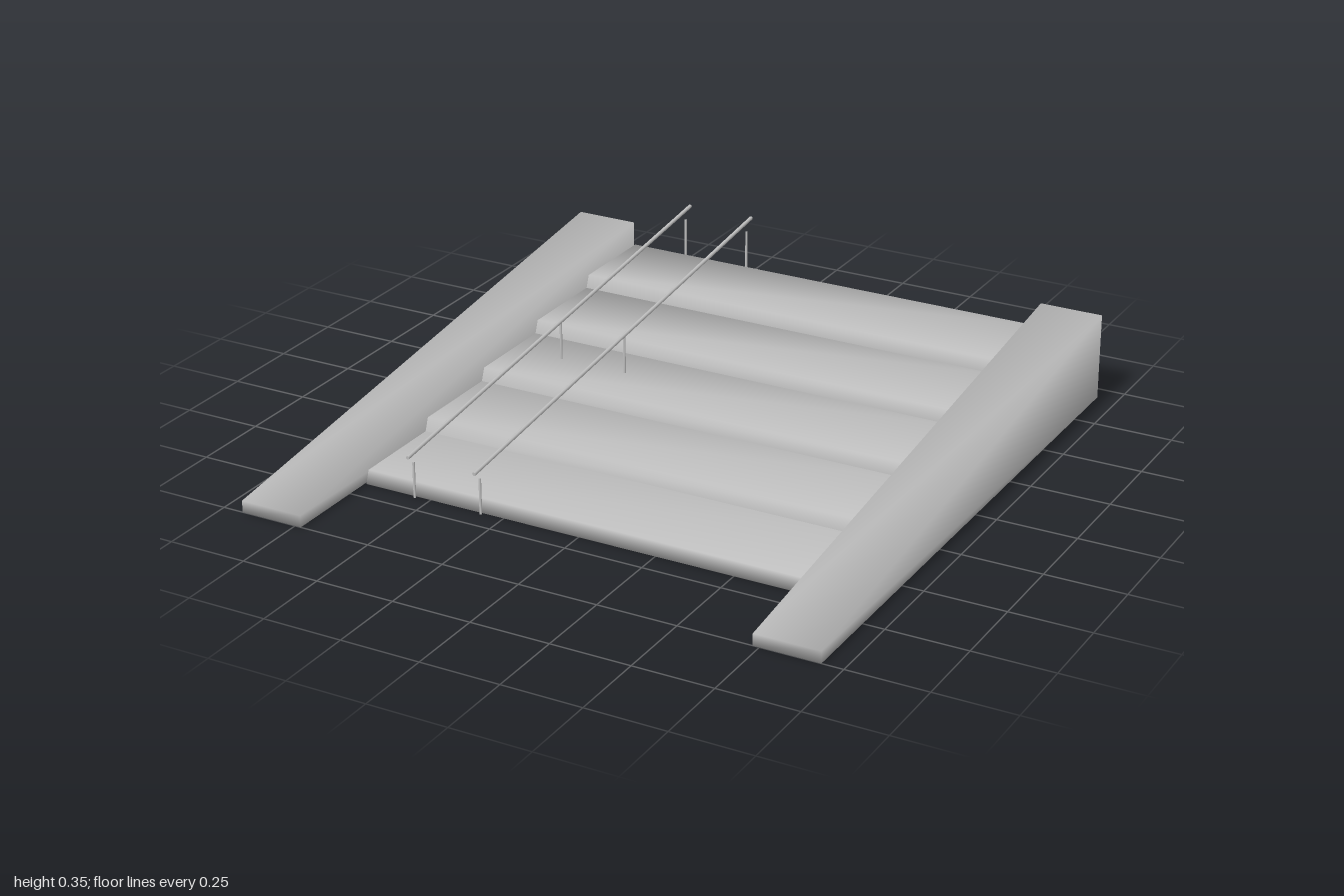
import * as THREE from 'three';
import { mergeVertices } from 'three/addons/utils/BufferGeometryUtils.js';

const concrete = new THREE.MeshStandardMaterial({ name: 'grey concrete', color: 0xc0c0c0 });

// Side profile of [z, y] points extruded across x, with normals shared around the corners
function prism(name, profile, width, x) {
  const shape = new THREE.Shape(profile.map(([z, y]) => new THREE.Vector2(z, y)));
  let geo = new THREE.ExtrudeGeometry(shape, { depth: width, bevelEnabled: false });
  geo.rotateY(-Math.PI / 2).translate(x + width / 2, 0, 0);
  geo.clearGroups();
  geo.deleteAttribute('normal');
  geo.deleteAttribute('uv');
  geo = mergeVertices(geo, 1e-4);
  geo.computeVertexNormals();
  const mesh = new THREE.Mesh(geo, concrete);
  mesh.name = name;
  return mesh;
}

// Round bar between two points
function bar(name, a, b, radius) {
  const dir = b.clone().sub(a);
  const mesh = new THREE.Mesh(new THREE.CylinderGeometry(radius, radius, dir.length(), 8), concrete);
  mesh.position.copy(a).add(b).multiplyScalar(0.5);
  mesh.quaternion.setFromUnitVectors(new THREE.Vector3(0, 1, 0), dir.normalize());
  mesh.name = name;
  return mesh;
}

export function createModel() {
  const model = new THREE.Group();
  model.name = 'wideSteps';

  // Five solid steps with slightly sloping risers
  const count = 5, run = 0.322, rise = 0.04, first = 0.673, back = -0.937;
  for (let i = 0; i < count; i++) {
    const front = first - i * run;
    const rear = i === count - 1 ? back : front - run;
    const top = rise * (i + 1);
    const slope = 0.015;
    model.add(prism('step' + (i + 1),
      [[rear, 0], [front, 0], [front, top - rise], [front - slope, top], [rear, top]]
        .filter((p, k) => !(i === 0 && k === 2)), 1.45, 0));
  }

  // Sloping side walls
  for (const side of [-1, 1]) {
    model.add(prism(side > 0 ? 'leftWall' : 'rightWall',
      [[back, 0], [1, 0], [1, 0.037], [back, 0.278]], 0.204, side * 0.832));
  }

  // Pair of handrails on thin posts
  const posts = [[0.68, 0, 0.115], [-0.16, 0.12, 0.245], [-0.967, 0, 0.31]];
  for (const x of [-0.55, -0.323]) {
    const rail = new THREE.Group();
    rail.name = 'handrail';
    rail.add(bar('railBar', new THREE.Vector3(x, 0.14, 0.71), new THREE.Vector3(x, 0.348, -0.999), 0.006));
    for (const [z, y0, y1] of posts) {
      rail.add(bar('railPost', new THREE.Vector3(x, y0, z), new THREE.Vector3(x, y1, z), 0.004));
    }
    model.add(rail);
  }
  return model;
}
